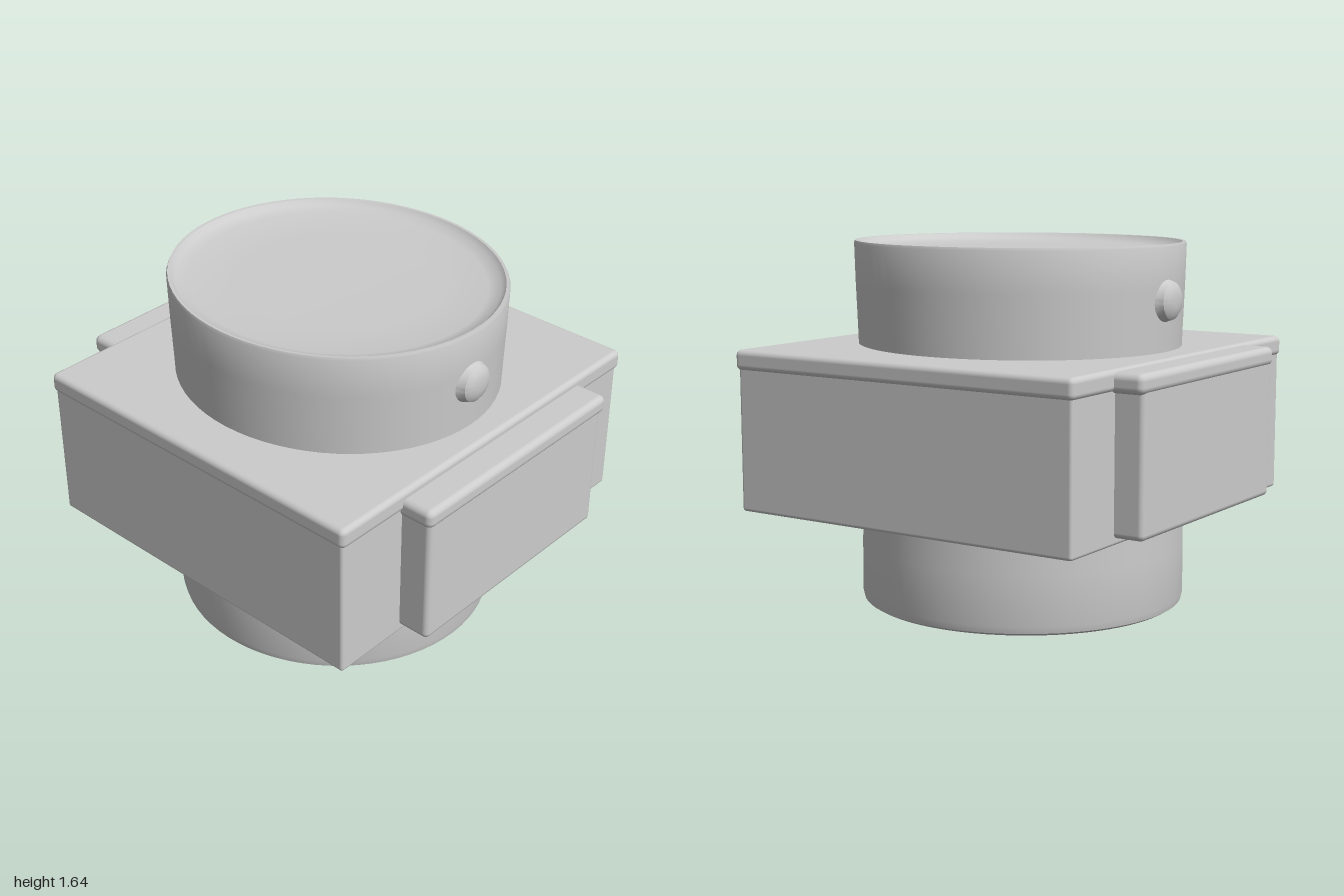
import * as THREE from 'three';
import { RoundedBoxGeometry } from 'three/addons/geometries/RoundedBoxGeometry.js';
import { toCreasedNormals } from 'three/addons/utils/BufferGeometryUtils.js';

const material = new THREE.MeshStandardMaterial({ color: 0xcccccc });

function add(parent, name, geometry, x = 0, y = 0, z = 0) {
  const mesh = new THREE.Mesh(geometry, material);
  mesh.name = name;
  mesh.position.set(x, y, z);
  parent.add(mesh);
  return mesh;
}

// Rounded box given by its limits along each axis
function boxBetween(parent, name, [x0, x1], [y0, y1], [z0, z1], radius) {
  const geometry = new RoundedBoxGeometry(x1 - x0, y1 - y0, z1 - z0, 3, radius);
  return add(parent, name, geometry, (x0 + x1) / 2, (y0 + y1) / 2, (z0 + z1) / 2);
}

// Round part from [radius, height] pairs, running from bottom to top
function turned(profile) {
  const points = profile.map(([r, y]) => new THREE.Vector2(r, y));
  return toCreasedNormals(new THREE.LatheGeometry(points, 72), 0.6);
}

export function createModel() {
  const model = new THREE.Group();
  model.name = 'model';

  // Lower drum with a gently bulging underside
  const base = turned([
    [0, 0.01], [0.3, 0.013], [0.55, 0.023], [0.7, 0.038], [0.72, 0.05],
    [0.727, 0.08], [0.725, 0.3], [0.72, 0.55],
  ]);
  base.scale(1.005, 1, 0.985);
  add(model, 'lowerDrum', base, -0.025, -0.01, 0.005);

  // Square middle block with a slightly wider lip around its top
  const block = new THREE.Group();
  block.name = 'middleBlock';
  model.add(block);
  boxBetween(block, 'blockBody', [-0.853, 0.84], [0.47, 1.16], [-0.908, 0.905], 0.015);
  boxBetween(block, 'blockLip', [-0.863, 0.852], [1.09, 1.18], [-0.92, 0.915], 0.025);

  // Upper drum with a narrow rim around a shallow dished top
  const top = turned([
    [0.735, 1.1], [0.74, 1.25], [0.748, 1.45], [0.753, 1.625], [0.748, 1.637],
    [0.735, 1.636], [0.715, 1.615], [0.66, 1.603], [0.45, 1.598], [0, 1.598],
  ]);
  top.scale(1, 1, 0.925);
  add(model, 'upperDrum', top, 0, 0, 0.015);

  for (const side of [-1, 1]) {
    const label = side > 0 ? 'left' : 'right';
    const span = (inner, outer) => (side > 0 ? [inner, outer] : [-outer, -inner]);

    // Side panel with a lip along its upper edge
    const panel = new THREE.Group();
    panel.name = label + 'Panel';
    model.add(panel);
    const topY = side > 0 ? 1.145 : 1.17;
    boxBetween(panel, 'panelBody', span(0.8, 0.985), [0.5, topY - 0.02], [-0.59, 0.555], 0.025);
    boxBetween(panel, 'panelLip', span(0.8, 0.993), [topY - 0.085, topY], [-0.617, 0.565], 0.03);

    // Blunt round knob on the upper drum
    const knob = turned([
      [0.125, -0.06], [0.11, -0.015], [0.09, 0.005], [0.08, 0.035],
      [0.06, 0.05], [0.03, 0.056], [0, 0.057],
    ]);
    knob.rotateZ(-side * Math.PI / 2);
    add(model, label + 'Knob', knob, side * 0.738, 1.4, 0.02);
  }

  return model;
}
